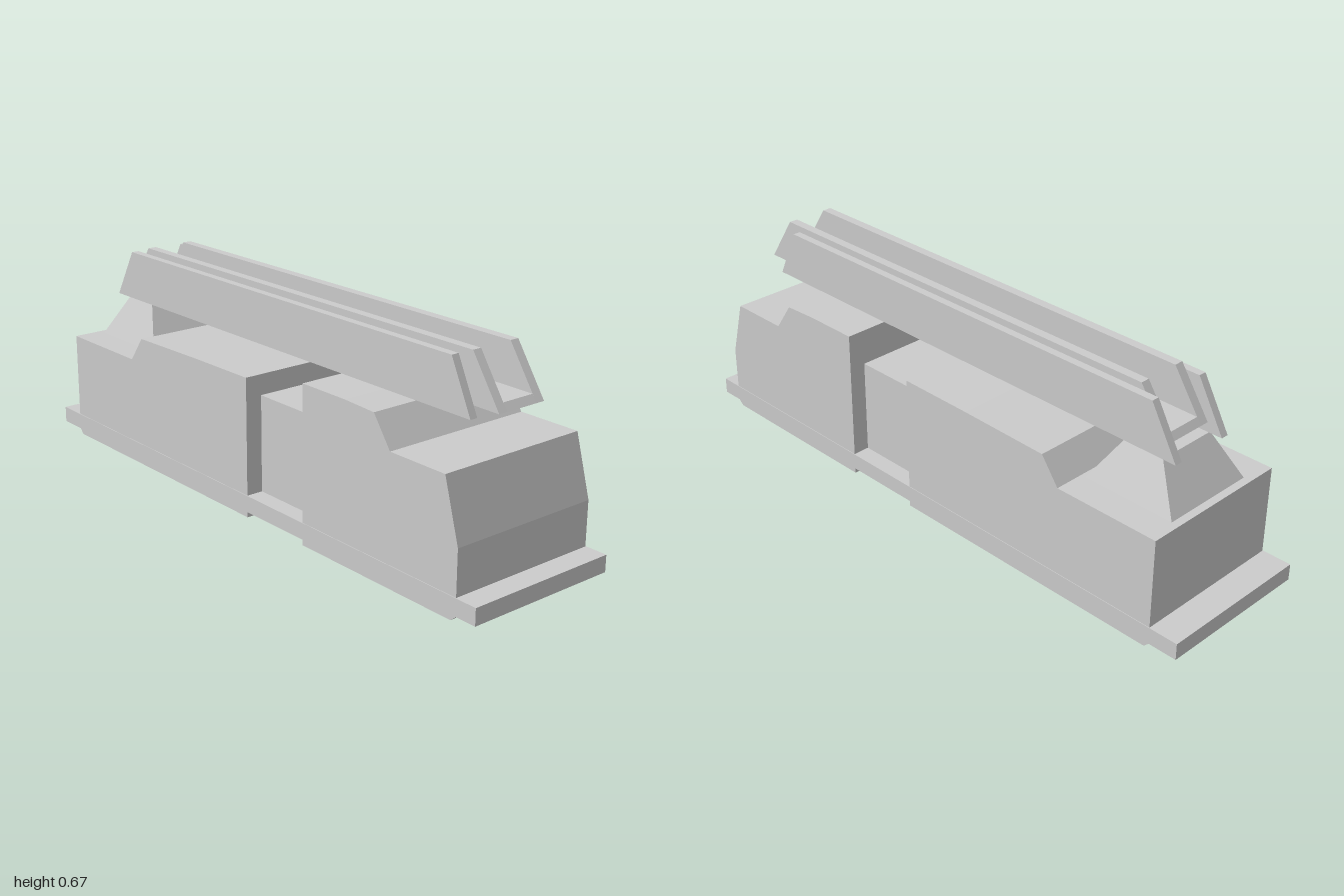
import * as THREE from 'three';

const material = new THREE.MeshStandardMaterial({ color: 0xcccccc, flatShading: true });

// Extrude a side profile of [z, y] points across the width from x0 to x1
function slab(name, profile, x0, x1) {
  const shape = new THREE.Shape(profile.map(([z, y]) => new THREE.Vector2(z, y)));
  const geometry = new THREE.ExtrudeGeometry(shape, { depth: x1 - x0, bevelEnabled: false });
  geometry.rotateY(-Math.PI / 2).translate(x1, 0, 0);
  const mesh = new THREE.Mesh(geometry, material);
  mesh.name = name;
  return mesh;
}

function box(name, x, y0, y1, z0, z1) {
  const geometry = new THREE.BoxGeometry(2 * x, y1 - y0, z1 - z0);
  geometry.translate(0, (y0 + y1) / 2, (z0 + z1) / 2);
  const mesh = new THREE.Mesh(geometry, material);
  mesh.name = name;
  return mesh;
}

export function createModel() {
  const model = new THREE.Group();
  model.name = 'railVehicle';

  // Flat chassis plate with buffer ledges at both ends
  model.add(box('chassis', 0.252, 0.018, 0.07, -1, 1));

  // Front body with sloped nose and raised roof
  model.add(slab('frontBody', [
    [0.31, 0], [0.91, 0], [0.928, 0.015], [0.928, 0.208], [0.875, 0.393],
    [0.67, 0.393], [0.605, 0.484], [0.49, 0.489], [0.31, 0.489],
  ], -0.25, 0.25));

  // Rear body with a lowered deck at the back
  model.add(slab('rearBody', [
    [-0.89, 0], [0.05, 0], [0.05, 0.44], [-0.2, 0.438], [-0.5, 0.432],
    [-0.56, 0.35], [-0.905, 0.35], [-0.905, 0.015],
  ], -0.25, 0.25));

  // Narrow section joining the two bodies
  model.add(box('middleBody', 0.195, 0.06, 0.375, 0.04, 0.32));

  // Tapered pedestal on the rear deck
  const pedestal = box('pedestal', 0.155, 0.35, 0.484, -0.88, -0.575);
  const p = pedestal.geometry.attributes.position;
  for (let i = 0; i < p.count; i++) {
    if (p.getY(i) < 0.4) continue;
    p.setX(i, Math.sign(p.getX(i)) * 0.1);
    p.setZ(i, p.getZ(i) < -0.73 ? -0.795 : -0.66);
  }
  pedestal.geometry.computeVertexNormals();
  model.add(pedestal);

  // Launch channel: paired inner and outer rails with slanted ends
  const outer = [[0.82, 0.49], [0.745, 0.648], [-0.755, 0.648], [-0.845, 0.49]];
  const inner = [[0.895, 0.52], [0.795, 0.668], [-0.695, 0.668], [-0.795, 0.52]];
  for (const [side, s] of [['left', 1], ['right', -1]]) {
    const pair = (a, b) => (s > 0 ? [a, b] : [-b, -a]);
    model.add(slab(side + 'OuterRail', outer, ...pair(0.085, 0.11)));
    model.add(slab(side + 'InnerRail', inner, ...pair(0.055, 0.084)));
  }
  model.add(slab('channelFloor', [
    [0.895, 0.52], [0.88, 0.542], [-0.78, 0.542], [-0.795, 0.52],
  ], -0.055, 0.055));

  return model;
}
